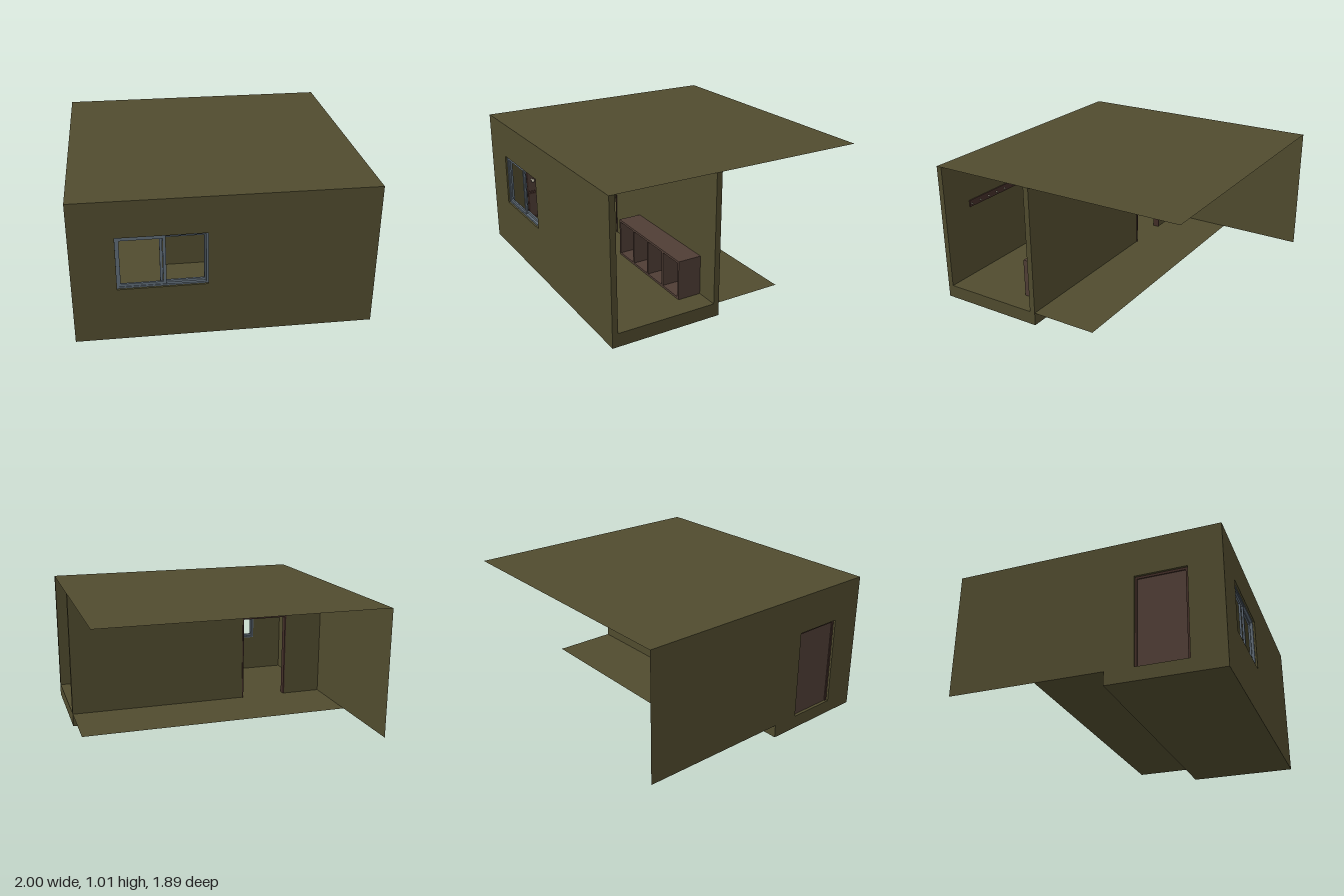
import * as THREE from 'three';

const mat = (color, side = THREE.FrontSide) => {
  const m = new THREE.MeshStandardMaterial({ side });
  m.color.set(color);
  return m;
};
const OLIVE = mat(0x504b2e), SHEET = mat(0x504b2e, THREE.DoubleSide);
const WOOD = mat(0x4f3d35), DARK = mat(0x412d27), STEEL = mat(0x5f6b76), METAL = mat(0xb0a996);

const FLOOR = 0.095, TOP = 1.01, FRONT = 0.945, MID = 0.155, WALL = 0.04;

function add(parent, name, geometry, material) {
  const mesh = new THREE.Mesh(geometry, material);
  mesh.name = name;
  parent.add(mesh);
  return mesh;
}

// Box given by its minimum and maximum corners
function box(parent, name, material, [x0, y0, z0], [x1, y1, z1]) {
  const mesh = add(parent, name, new THREE.BoxGeometry(x1 - x0, y1 - y0, z1 - z0), material);
  mesh.position.set((x0 + x1) / 2, (y0 + y1) / 2, (z0 + z1) / 2);
  return mesh;
}

const points = (list) => list.map(([x, y]) => new THREE.Vector2(x, y));
const rect = (x0, y0, x1, y1) => points([[x0, y0], [x1, y0], [x1, y1], [x0, y1]]);

// Flat outline with optional hole, extruded from z0 to z1
function slab(parent, name, material, outline, hole, z0, z1) {
  const shape = new THREE.Shape(outline);
  if (hole) shape.holes.push(new THREE.Path(hole));
  const geometry = new THREE.ExtrudeGeometry(shape, { depth: z1 - z0, bevelEnabled: false });
  geometry.translate(0, 0, z0);
  return add(parent, name, geometry, material);
}

// Rectangular frame with bars of width w
const frame = (parent, name, material, x0, y0, x1, y1, w, z0, z1) =>
  slab(parent, name, material, rect(x0, y0, x1, y1), rect(x0 + w, y0 + w, x1 - w, y1 - w), z0, z1);

// Wall outline with a doorway notch reaching the floor
const doorwayWall = (x0, x1, d0, d1, top) => points([
  [x0, FLOOR], [d0, FLOOR], [d0, top], [d1, top], [d1, FLOOR], [x1, FLOOR], [x1, TOP], [x0, TOP],
]);

// Three-sided door lining
const lining = (parent, name, x0, x1, top, w, z0, z1) => slab(parent, name, DARK, points([
  [x0, FLOOR], [x0 + w, FLOOR], [x0 + w, top - w], [x1 - w, top - w],
  [x1 - w, FLOOR], [x1, FLOOR], [x1, top], [x0, top],
]), null, z0, z1);

function horizontalSheet(parent, name, z0, z1, y) {
  const geometry = new THREE.PlaneGeometry(2, z1 - z0).rotateX(-Math.PI / 2);
  add(parent, name, geometry, SHEET).position.set(0, y, (z0 + z1) / 2);
}

function makeWindow() {
  const g = new THREE.Group();
  g.name = 'slidingWindow';
  frame(g, 'windowFrame', STEEL, -0.71, 0.38, -0.12, 0.755, 0.012, 0.898, 0.932);
  frame(g, 'outerSash', STEEL, -0.705, 0.39, -0.39, 0.745, 0.02, 0.915, 0.928);
  frame(g, 'innerSash', STEEL, -0.43, 0.39, -0.125, 0.745, 0.018, 0.9, 0.914);
  return g;
}

// Side wall and door, drawn in a plane whose x runs along -z
function makeSideWall() {
  const g = new THREE.Group();
  g.name = 'sideWall';
  const d0 = -0.712, d1 = -0.355, top = 0.74;
  slab(g, 'sideWallPanel', OLIVE, doorwayWall(-0.905, -0.195, d0, d1, top), null, 0, WALL);
  lining(g, 'doorFrame', d0, d1, top, 0.016, 0.015, 0.046);
  box(g, 'doorLeaf', WOOD, [d0 + 0.014, FLOOR, 0.022], [d1 - 0.014, top - 0.014, 0.038]);
  frame(g, 'upperDoorMoulding', DARK, d0 + 0.018, 0.322, d1 - 0.018, 0.72, 0.011, 0.036, 0.042);
  frame(g, 'lowerDoorMoulding', DARK, d0 + 0.022, 0.1, d1 - 0.022, 0.317, 0.012, 0.036, 0.042);
  const stem = add(g, 'knobStem', new THREE.CylinderGeometry(0.006, 0.008, 0.03, 12), METAL);
  stem.rotation.x = Math.PI / 2;
  stem.position.set(-0.652, 0.43, 0.05);
  add(g, 'doorKnob', new THREE.SphereGeometry(0.014, 16, 12), METAL).position.set(-0.652, 0.43, 0.07);
  g.rotation.y = Math.PI / 2;
  g.position.x = -1;
  return g;
}

// Open shoe cabinet against the partition
function makeCabinet() {
  const g = new THREE.Group();
  g.name = 'openCabinet';
  const x0 = 0.02, x1 = 0.836, y1 = 0.375, z0 = 0.196, z1 = 0.365, t = 0.016, bays = 4;
  box(g, 'cabinetTop', WOOD, [x0, y1 - t, z0], [x1, y1, z1]);
  box(g, 'cabinetBottom', WOOD, [x0, FLOOR + 0.001, z0], [x1, FLOOR + t, z1]);
  box(g, 'cabinetBack', WOOD, [x0, FLOOR + t, z0], [x1, y1 - t, z0 + 0.01]);
  for (let i = 0; i <= bays; i++) {
    const x = x0 + ((x1 - x0 - t) * i) / bays;
    box(g, 'cabinetUpright', WOOD, [x, FLOOR + t, z0 + 0.01], [x + t, y1 - t, z1]);
  }
  return g;
}

// Coat rail with a row of pegs on the inside of the front wall
function makeCoatRail() {
  const g = new THREE.Group();
  g.name = 'coatRail';
  box(g, 'railBoard', DARK, [0.1, 0.632, 0.896], [0.76, 0.682, 0.905]);
  for (let i = 0; i < 8; i++) {
    const x = 0.115 + 0.09 * i;
    if (x > 0.75) break;
    const peg = add(g, 'peg', new THREE.CylinderGeometry(0.005, 0.005, 0.014, 10), METAL);
    peg.rotation.x = Math.PI / 2;
    peg.position.set(x, 0.655, 0.89);
  }
  return g;
}

export function createModel() {
  const model = new THREE.Group();
  model.name = 'entranceRoom';

  // Base, thin roof and thin rear floor
  box(model, 'base', OLIVE, [-1, 0, MID], [1, FLOOR, FRONT]);
  horizontalSheet(model, 'roof', -FRONT, FRONT, TOP);
  horizontalSheet(model, 'rearFloor', -0.32, MID, FLOOR);

  // Front wall with window opening
  slab(model, 'frontWall', OLIVE, rect(-1, FLOOR, 1, TOP), rect(-0.71, 0.38, -0.12, 0.755), FRONT - WALL, FRONT);
  model.add(makeWindow());

  // Partition with open doorway
  slab(model, 'partition', OLIVE, doorwayWall(-1, 1, -0.705, -0.343, 0.74), null, MID, MID + WALL);
  lining(model, 'doorwayLining', -0.705, -0.343, 0.74, 0.01, MID - 0.005, MID + WALL + 0.005);

  // Side wall of the room, and its thin continuation to the rear
  model.add(makeSideWall());
  const rear = add(model, 'rearSideWall', new THREE.PlaneGeometry(MID + FRONT, TOP - FLOOR), SHEET);
  rear.rotation.y = -Math.PI / 2;
  rear.position.set(-1, (TOP + FLOOR) / 2, (MID - FRONT) / 2);

  model.add(makeCabinet(), makeCoatRail());
  return model;
}
